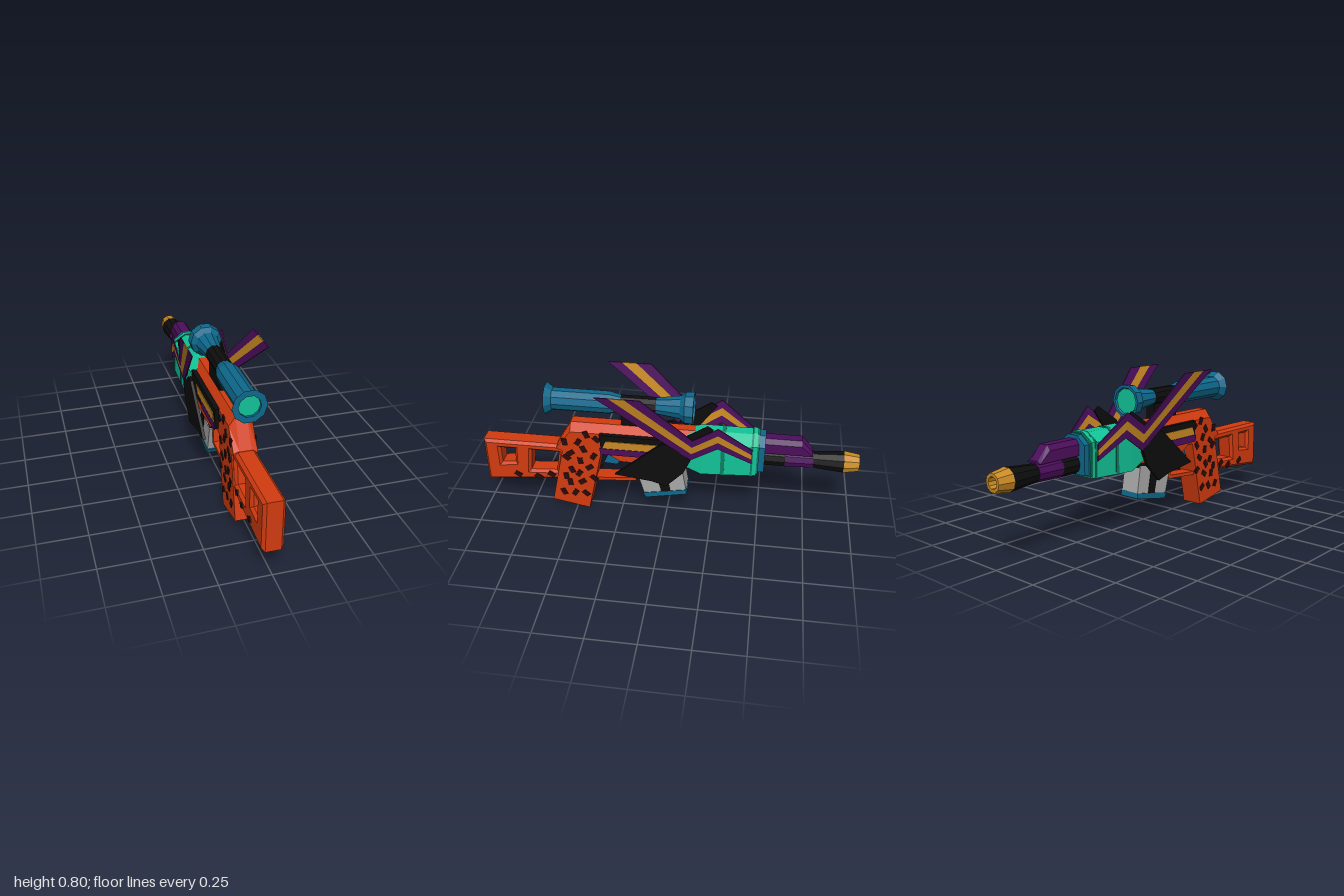
import * as THREE from 'three';

const mat = (name, color) => Object.assign(new THREE.MeshStandardMaterial({ color }), { name });
const M = {
  orange: mat('orange', 0xd23b0f), black: mat('black', 0x0d0d0d), green: mat('green', 0x12c498),
  darkGreen: mat('dark green', 0x0c7f63), blue: mat('blue', 0x0e688c), purple: mat('purple', 0x4c0e5c),
  gold: mat('gold', 0xc98a22), grey: mat('grey', 0xa9a9a9), brown: mat('dark brown', 0x2c0b0a),
};

// Flat-shaded copy of a closed geometry with its faces turned outward
function finish(geo) {
  const g = geo.index ? geo.toNonIndexed() : geo;
  const p = g.attributes.position, v = [0, 1, 2].map(() => new THREE.Vector3());
  let volume = 0;
  for (let i = 0; i < p.count; i += 3) {
    v.forEach((q, k) => q.fromBufferAttribute(p, i + k));
    volume += v[0].dot(v[1].clone().cross(v[2]));
  }
  if (volume < 0) for (let i = 0; i < p.count; i += 3) {
    v.forEach((q, k) => q.fromBufferAttribute(p, i + k));
    p.setXYZ(i + 1, v[2].x, v[2].y, v[2].z);
    p.setXYZ(i + 2, v[1].x, v[1].y, v[1].z);
  }
  g.computeVertexNormals();
  return g;
}

// Side profile of [z, y] points, extruded across x
function side(points, width, bevel = 0, holes = []) {
  const toV = (a) => a.map(([z, y]) => new THREE.Vector2(z, y));
  const shape = new THREE.Shape(toV(points));
  holes.forEach((h) => shape.holes.push(new THREE.Path(toV(h))));
  const depth = width - 2 * bevel;
  const g = new THREE.ExtrudeGeometry(shape, {
    depth, bevelEnabled: bevel > 0, bevelSize: bevel, bevelThickness: bevel, bevelOffset: -bevel, bevelSegments: 1,
  });
  return finish(g.translate(0, 0, -depth / 2).rotateY(-Math.PI / 2));
}

// Skin over convex cross-sections of [x, y, z] points, with end caps
function loft(sections) {
  const n = sections[0].length, index = [];
  for (let s = 0; s < sections.length - 1; s++) for (let i = 0; i < n; i++) {
    const a = s * n + i, b = s * n + (i + 1) % n;
    index.push(a, b, a + n, b, b + n, a + n);
  }
  const last = (sections.length - 1) * n;
  for (let i = 1; i < n - 1; i++) index.push(0, i + 1, i, last, last + i, last + i + 1);
  const g = new THREE.BufferGeometry();
  g.setAttribute('position', new THREE.Float32BufferAttribute(sections.flat(2), 3));
  g.setIndex(index);
  return finish(g);
}

// Box section with chamfered top corners
const hull = (z, w, wTop, top, shoulder, bottom) => [
  [wTop, top, z], [w, shoulder, z], [w, bottom, z], [-w, bottom, z], [-w, shoulder, z], [-wTop, top, z]];

// Turned part along z from [radius, z] points
const turned = (profile, y, segments = 10) => finish(
  new THREE.LatheGeometry(profile.map(([r, z]) => new THREE.Vector2(r, z)), segments)
    .rotateY(Math.PI / 2).rotateX(Math.PI / 2).translate(0, y, 0));
const rod = (r0, z0, r1, z1, y) => turned([[0, z0], [r0, z0], [r1, z1], [0, z1]], y);

export function createModel() {
  const model = new THREE.Group();
  model.name = 'model';
  const add = (name, geo, material) => {
    const m = new THREE.Mesh(geo, material);
    m.name = name;
    model.add(m);
    return m;
  };

  // Stock, grip, body and trigger guard
  add('stock', side([[1, 0.135], [1, 0.4], [0.48, 0.4], [0.48, 0.185]], 0.106, 0.015, [
    [[0.91, 0.35], [0.83, 0.35], [0.835, 0.265], [0.91, 0.255]],
    [[0.735, 0.35], [0.585, 0.35], [0.605, 0.23], [0.75, 0.22]]]), M.orange);
  add('grip', side([[0.55, 0.42], [0.635, 0.04], [0.43, 0], [0.345, 0.39]], 0.12), M.orange);
  add('body', loft([
    hull(0.59, 0.06, 0.03, 0.405, 0.395, 0.385), hull(0.51, 0.06, 0.027, 0.545, 0.5, 0.36),
    hull(0.33, 0.06, 0.027, 0.545, 0.5, 0.37), hull(-0.15, 0.06, 0.027, 0.545, 0.5, 0.36)]), M.orange);
  add('lowerBody', side([[0.33, 0.4], [0.24, 0.345], [-0.1, 0.34], [-0.1, 0.4]], 0.15), M.orange);
  add('triggerGuard', side([[0.45, 0.175], [0.165, 0.2], [0.165, 0.35], [0.185, 0.35],
    [0.185, 0.217], [0.45, 0.195]], 0.08), M.orange);
  add('trigger', side([[0.31, 0.37], [0.345, 0.29], [0.27, 0.285], [0.25, 0.32], [0.28, 0.37]], 0.04), M.blue);

  // Magazine with its black band and base
  add('magazineWell', side([[0.15, 0.36], [0.15, 0.265], [-0.08, 0.28], [-0.1, 0.36]], 0.1), M.black);
  add('magazine', side([[0.16, 0.28], [0.12, 0.135], [-0.11, 0.175], [-0.085, 0.32]], 0.11), M.grey);
  add('magazineBand', side([[0.06, 0.3], [0.025, 0.152], [-0.025, 0.161], [0, 0.3]], 0.116), M.black);
  add('magazineBase', side([[0.125, 0.135], [0.11, 0.105], [-0.115, 0.15], [-0.11, 0.178]], 0.116), M.blue);

  // Front receiver with raised ribs and collar
  add('receiver', loft([
    hull(-0.09, 0.085, 0.027, 0.53, 0.49, 0.36), hull(-0.19, 0.093, 0.03, 0.553, 0.51, 0.32),
    hull(-0.46, 0.093, 0.03, 0.553, 0.51, 0.335)]), M.green);
  const rib = (name, z0, z1, w, top, bottom, material) => add(name,
    loft([z0, z1].map((z) => hull(z, w, 0.03, top, top - 0.043, bottom))), material);
  rib('receiverRib', -0.29, -0.31, 0.095, 0.556, 0.324, M.darkGreen);
  rib('receiverFrontRib', -0.445, -0.455, 0.096, 0.558, 0.332, M.darkGreen);
  rib('receiverRim', -0.455, -0.475, 0.093, 0.558, 0.337, M.green);
  rib('receiverBackRing', -0.475, -0.485, 0.088, 0.553, 0.345, M.darkGreen);
  rib('barrelCollar', -0.485, -0.515, 0.08, 0.548, 0.355, M.blue);

  // Barrel, upper tube and muzzle
  add('barrel', rod(0.05, -0.63, 0.05, -0.51, 0.405), M.black);
  add('barrelSleeve', rod(0.048, -0.765, 0.053, -0.62, 0.408), M.purple);
  add('upperTube', loft([[-0.51, 0.53], [-0.7, 0.53], [-0.76, 0.462]].map(([z, top]) =>
    hull(z, 0.044, 0.025, top, Math.max(top - 0.025, 0.452), 0.45))), M.purple);
  add('barrelTip', rod(0.059, -0.925, 0.045, -0.765, 0.405), M.black);
  add('muzzle', turned([[0, -0.95], [0.03, -0.95], [0.03, -1], [0.046, -1], [0.06, -0.92], [0, -0.92]], 0.405), M.gold);
  add('muzzleBore', rod(0.029, -0.956, 0.029, -0.949, 0.405), M.black);

  // Scope, lenses and mount
  add('scope', turned([[0, -0.125], [0.066, -0.125], [0.072, -0.14], [0.087, -0.14], [0.084, -0.095], [0.062, -0.07],
    [0.043, 0.06], [0.043, 0.23], [0.06, 0.3], [0.06, 0.6], [0.086, 0.635], [0.055, 0.635], [0.055, 0.615],
    [0, 0.615]], 0.663), M.blue);
  add('frontLens', rod(0.066, -0.131, 0.066, -0.124, 0.663), M.green);
  add('rearLens', rod(0.055, 0.614, 0.055, 0.621, 0.663), M.green);
  add('scopeClamp', rod(0.046, 0.055, 0.046, 0.24, 0.663), M.black);
  add('scopeMount', side([[0.24, 0.54], [0.24, 0.65], [0.055, 0.65], [0.055, 0.54]], 0.054), M.black);

  // Wing path: [z, upper y, lower y, upper x, lower x]
  const wing = [[[0.11, 0.34], 0.8, 0.8, 0.18, 0.18], [[-0.147, -0.137], 0.555, 0.42, 0.128, 0.105],
    [[-0.275, -0.275], 0.64, 0.51, 0.133, 0.118], [[-0.45, -0.45], 0.505, 0.42, 0.1, 0.096]];
  // Dark patches: [z, y] centres
  const patches = [[0.425, 0.49], [0.47, 0.44], [0.37, 0.465], [0.545, 0.435], [0.515, 0.365], [0.445, 0.395],
    [0.39, 0.355], [0.54, 0.335], [0.465, 0.32], [0.415, 0.28], [0.515, 0.255], [0.475, 0.235], [0.395, 0.21],
    [0.53, 0.17], [0.46, 0.18], [0.57, 0.1], [0.505, 0.1], [0.445, 0.1], [0.55, 0.21], [0.825, 0.19],
    [0.71, 0.185], [0.635, 0.205]];
  const angles = [0.5, -0.5, 0.9, 0.2, -0.9];

  for (const s of [1, -1]) {
    const label = s > 0 ? 'left' : 'right';
    const plate = (name, points, width, x, material) => {
      add(label + name, side(points, width), material).position.x = s * x;
    };

    // Side rail with coloured strips
    plate('Rail', [[0.35, 0.505], [0.34, 0.39], [-0.1, 0.39], [-0.1, 0.505]], 0.03, 0.066, M.black);
    plate('RailGoldStrip', [[0.315, 0.472], [0.335, 0.428], [0.03, 0.428], [0, 0.472]], 0.006, 0.082, M.gold);
    plate('RailPurpleStrip', [[0.35, 0.426], [0.345, 0.388], [0.12, 0.388], [0.08, 0.426]], 0.006, 0.082, M.purple);

    // Black fin and the spike above it
    plate('Fin', [[0.265, 0.29], [0.02, 0.5], [-0.02, 0.51], [-0.137, 0.418], [-0.1, 0.335],
      [-0.01, 0.24], [0.07, 0.265]], 0.016, 0.111, M.black);
    plate('Spike', [[-0.05, 0.5], [-0.09, 0.55], [-0.22, 0.635], [-0.25, 0.615], [-0.14, 0.46]], 0.008, 0.116, M.black);

    // Zigzag wing in three lengthwise bands
    [['WingUpperBand', 0, 0.34, M.purple], ['WingGoldBand', 0.34, 0.68, M.gold],
      ['WingLowerBand', 0.68, 1, M.purple]].forEach(([name, f0, f1, material]) => {
      add(label + name, loft(wing.map(([z, yU, yL, xU, xL]) => {
        const at = (f, d) => [s * (xU + (xL - xU) * f + d + 0.008), yU + (yL - yU) * f, z[0] + (z[1] - z[0]) * f];
        return [at(f0, -0.003), at(f0, 0.003), at(f1, 0.003), at(f1, -0.003)];
      })), material);
    });

    // Grip and stock patches
    patches.forEach(([z, y], i) => {
      const patch = add(label + 'Patch' + (i + 1),
        side([[-0.013, -0.024], [0.015, -0.02], [0.012, 0.022], [-0.016, 0.018]], 0.006), M.brown);
      patch.position.set(s * (z > 0.62 ? 0.053 : 0.06), y, z);
      patch.rotation.x = z > 0.62 ? 1.1 : angles[i % 5];
    });
  }
  return model;
}
